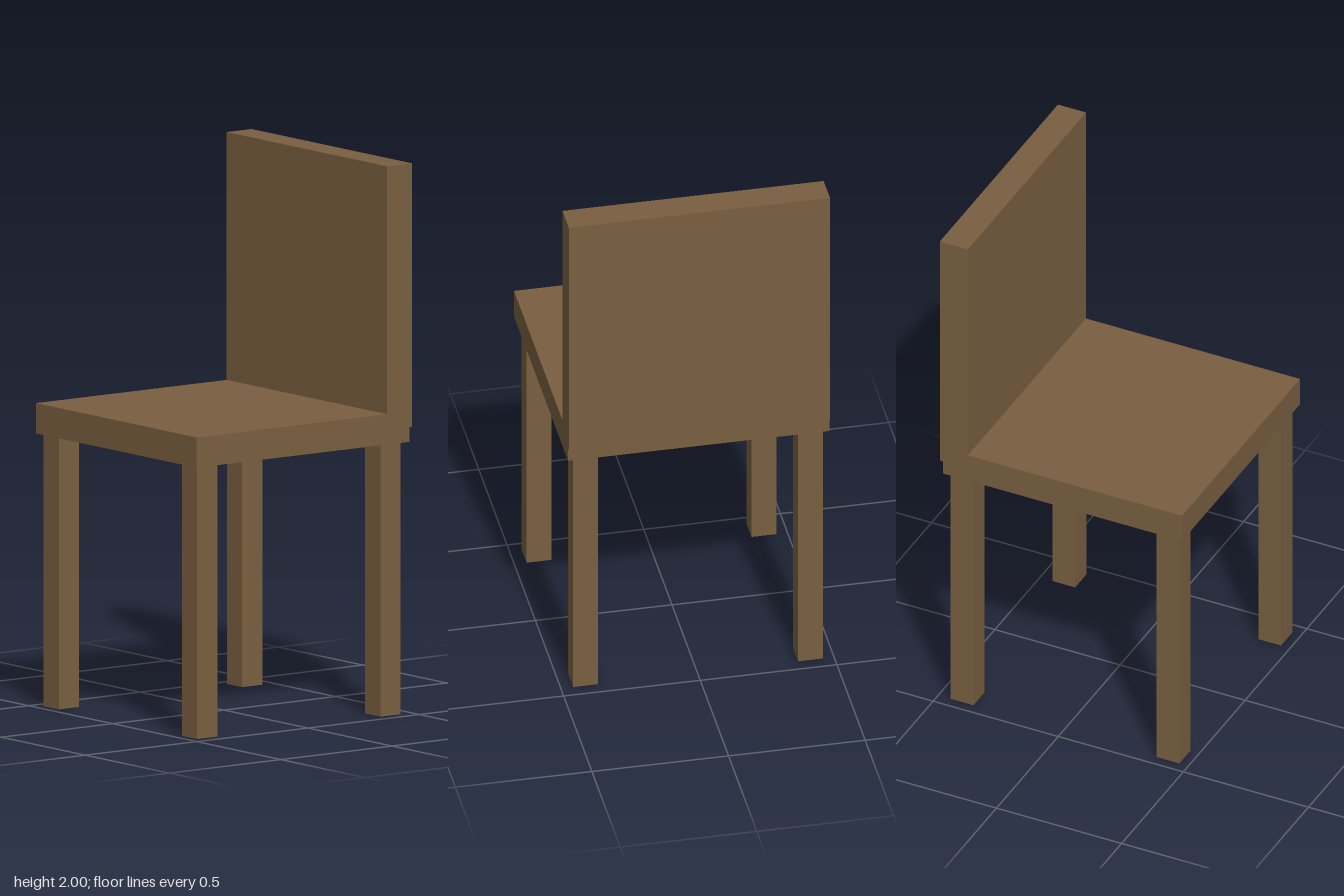
import * as THREE from 'three';

const wood = new THREE.MeshStandardMaterial({ color: 0x795f40 });
wood.name = 'brown wood';

// Box spanning two opposite corners
function slab(name, [x0, y0, z0], [x1, y1, z1]) {
  const mesh = new THREE.Mesh(new THREE.BoxGeometry(x1 - x0, y1 - y0, z1 - z0), wood);
  mesh.position.set((x0 + x1) / 2, (y0 + y1) / 2, (z0 + z1) / 2);
  mesh.name = name;
  return mesh;
}

export function createModel() {
  const chair = new THREE.Group();
  chair.name = 'chair';

  // Seat, and a backrest that sinks into it and overhangs slightly at the rear
  chair.add(slab('seat', [-0.478, 0.99, -0.472], [0.478, 1.1, 0.484]));
  chair.add(slab('backrest', [-0.478, 1.043, -0.484], [0.478, 2, -0.372]));

  // Four square legs
  const size = 0.091;
  for (const [side, x] of [['Right', -0.459], ['Left', 0.364]]) {
    for (const [end, z] of [['front', 0.373], ['back', -0.45]]) {
      chair.add(slab(`${end}${side}Leg`, [x, 0, z], [x + size, 0.99, z + size]));
    }
  }
  return chair;
}
